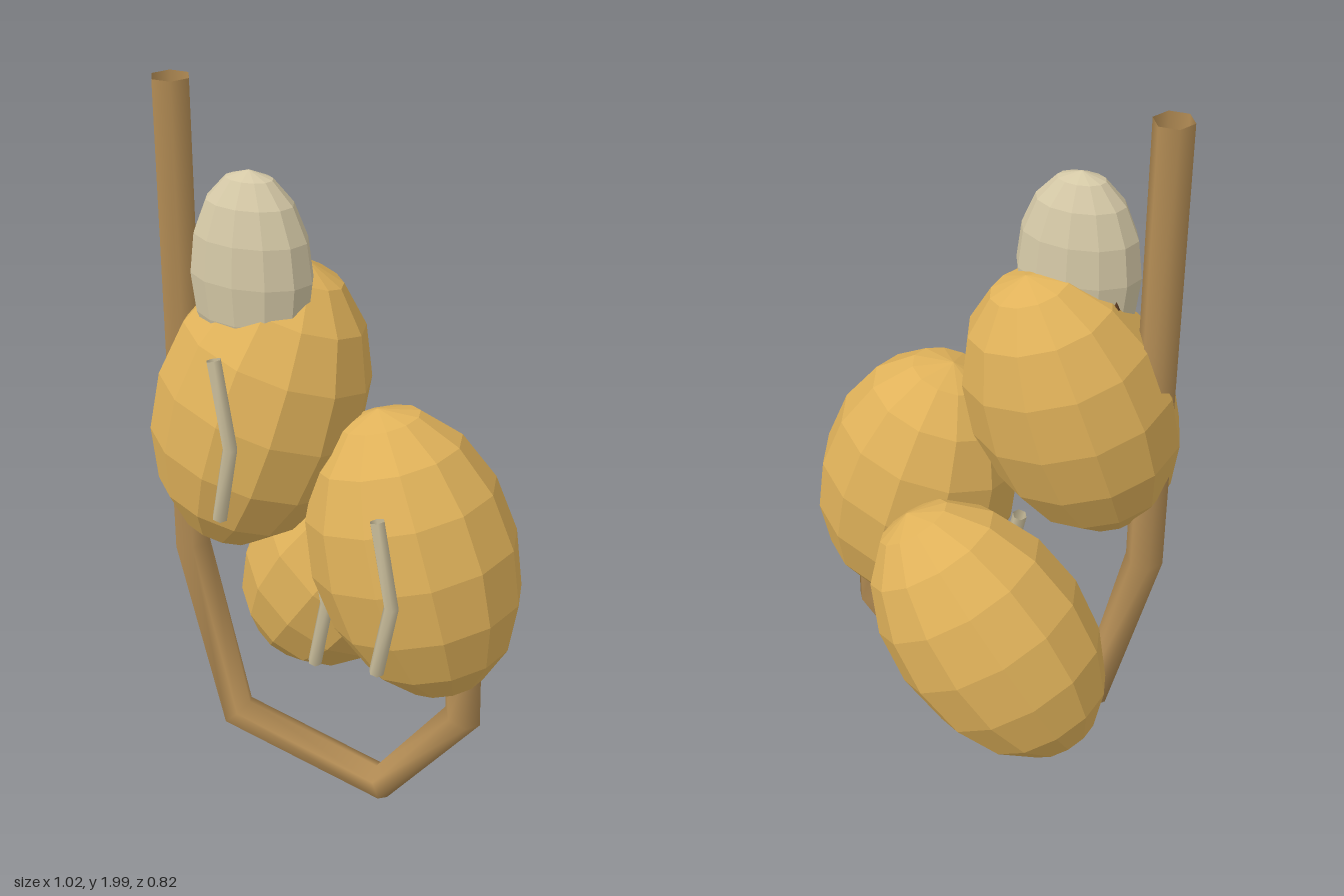
import * as THREE from 'three';

const material = (color, extra = {}) => new THREE.MeshStandardMaterial({ color, ...extra });

// Straight runs with sharp bends; rings sit exactly on the given points.
class Polyline extends THREE.Curve {
  constructor(points) {
    super();
    this.points = points.map((p) => new THREE.Vector3(...p));
  }
  getPoint(t) {
    const last = this.points.length - 1;
    const i = Math.min(Math.floor(t * last + 1e-6), last - 1);
    return this.points[i].clone().lerp(this.points[i + 1], t * last - i);
  }
  getPointAt(t) { return this.getPoint(t); }
  computeFrenetFrames(segments) {
    const tangents = [], normals = [], binormals = [];
    const front = new THREE.Vector3(0, 0, 1);
    const p = this.points;
    const dir = (i) => p[i + 1].clone().sub(p[i]).normalize();
    for (let i = 0; i <= segments; i++) {
      const t = dir(Math.max(i - 1, 0)).add(dir(Math.min(i, segments - 1))).normalize();
      const n = t.clone().cross(front).normalize();
      tangents.push(t);
      normals.push(n);
      binormals.push(t.clone().cross(n));
    }
    return { tangents, normals, binormals };
  }
}

export function createModel() {
  const model = new THREE.Group();
  const gold = material(0xe0b25a, { flatShading: true });
  const ivory = material(0xd4c8a6, { flatShading: true });
  const stickMat = material(0xc9bd9b, { side: THREE.DoubleSide });
  const stemMat = material(0xb48d55, { side: THREE.DoubleSide });
  const dark = material(0x5a3a22, { flatShading: true });

  const add = (name, geometry, mat, position = [0, 0, 0], rotation = [0, 0, 0]) => {
    const mesh = new THREE.Mesh(geometry, mat);
    mesh.name = name;
    mesh.position.set(...position);
    mesh.rotation.set(...rotation);
    model.add(mesh);
    return mesh;
  };
  const ellipsoid = (x, y, z) => new THREE.SphereGeometry(1, 12, 8).scale(x, y, z);
  const tube = (points, radius) =>
    new THREE.TubeGeometry(new Polyline(points), points.length - 1, radius, 6);

  // Open hexagonal stem, hooked round into the lowest front pod
  add('stem', tube([
    [-0.44, 2, 0.135], [-0.44, 0.7, 0.135], [-0.315, 0.17, 0.135],
    [0.13, 0.055, 0.135], [0.365, 0.35, 0.135], [0.36, 0.52, 0.135],
  ], 0.052), stemMat);

  // Three leaning pods, each with a bent rib on its front
  const pods = [
    { name: 'upperPod', at: [-0.22, 1.165, 0.13], tilt: [-0.15, 0, -0.28] },
    { name: 'leftPod', at: [0.215, 0.817, 0.13], tilt: [0, 0, 0.26] },
    { name: 'backPod', at: [-0.1, 0.578, -0.163], tilt: [0, 0, -0.6] },
  ];
  for (const { name, at, tilt } of pods) {
    add(name, ellipsoid(0.28, 0.41, 0.248), gold, at, tilt);
    add(name + 'Rib', tube([
      [0, 0.22, 0.24], [0.05, 0, 0.265], [0, -0.22, 0.24],
    ], 0.02), stickMat, at);
  }

  // Pale tip and the small dark bud behind it
  add('tip', ellipsoid(0.165, 0.27, 0.107), ivory, [-0.21, 1.54, 0.178]);
  add('bud', new THREE.ConeGeometry(0.03, 0.07, 6), dark, [-0.33, 1.465, 0.115]);

  return model;
}
